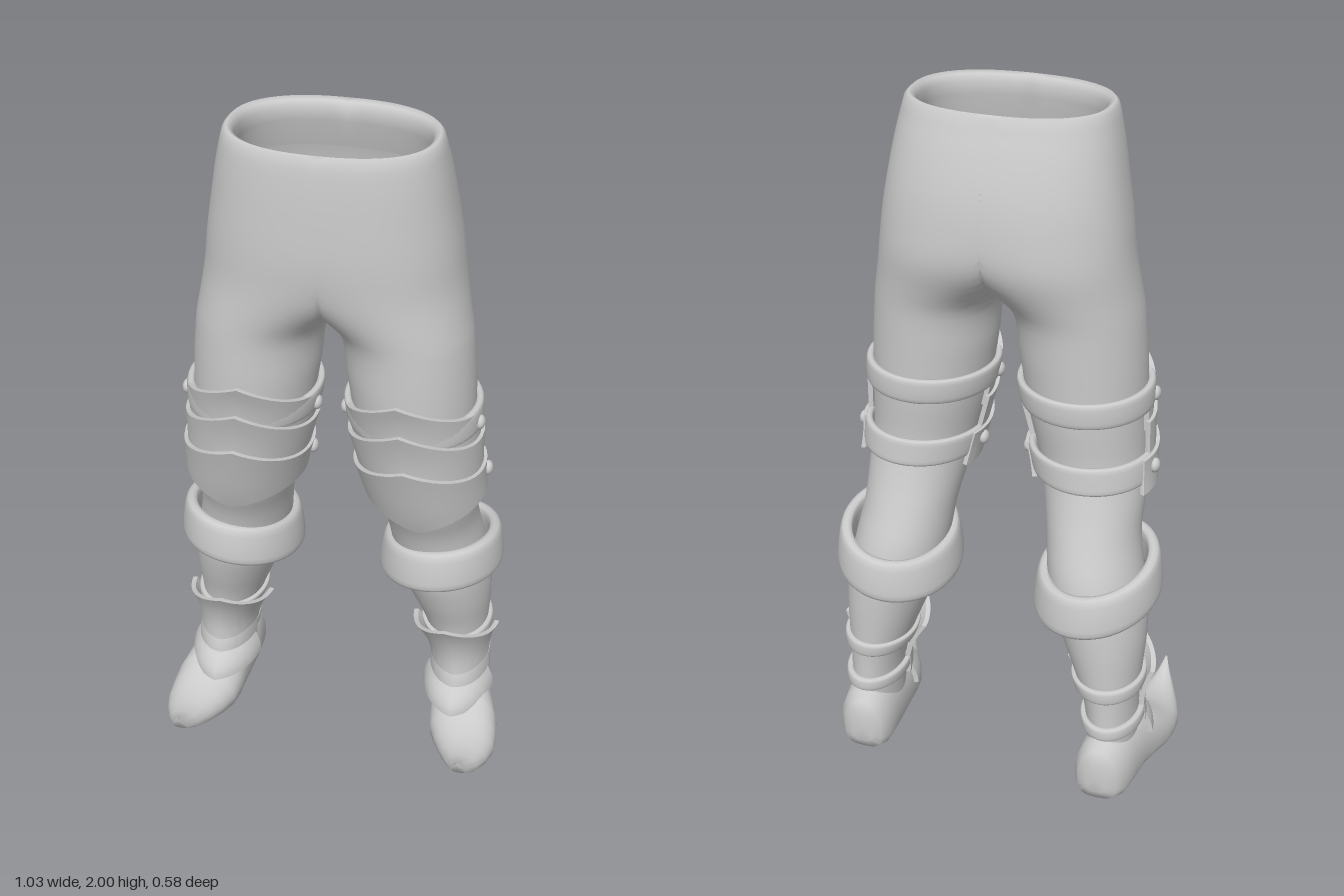
import * as THREE from 'three';
import { toCreasedNormals } from 'three/addons/utils/BufferGeometryUtils.js';

const GREY = new THREE.MeshStandardMaterial({ color: 0xcccccc, side: THREE.DoubleSide });
const { lerp, smoothstep } = THREE.MathUtils;

// Leg cross-sections: y, centre x, half width, front z, back z
const SECTIONS = [
  [0.06, 0.372, 0.07, 0.0, -0.24], [0.2, 0.37, 0.073, 0.0, -0.24], [0.3, 0.362, 0.08, -0.005, -0.24],
  [0.4, 0.348, 0.1, 0.01, -0.245], [0.5, 0.33, 0.122, 0.045, -0.25], [0.6, 0.307, 0.138, 0.075, -0.25],
  [0.7, 0.29, 0.135, 0.085, -0.235], [0.8, 0.275, 0.133, 0.11, -0.2], [0.9, 0.264, 0.143, 0.155, -0.165],
  [1.0, 0.25, 0.15, 0.18, -0.142], [1.15, 0.23, 0.165, 0.197, -0.152], [1.3, 0.215, 0.175, 0.205, -0.16],
  [1.44, 0.197, 0.181, 0.208, -0.17], [1.5, 0.16, 0.207, 0.215, -0.187], [1.6, 0.07, 0.28, 0.23, -0.222],
  [1.7, 0.015, 0.322, 0.24, -0.225], [1.8, 0, 0.32, 0.24, -0.212], [1.9, 0, 0.302, 0.236, -0.185],
  [1.97, 0, 0.286, 0.23, -0.16],
];

// Smooth interpolation of the sections at any height
function section(y) {
  const S = SECTIONS, n = S.length;
  let i = 0;
  while (i < n - 2 && y > S[i + 1][0]) i++;
  const a = S[i], b = S[i + 1], h = b[0] - a[0], t = (y - a[0]) / h;
  const slope = (j, k) => {
    const p = S[Math.max(j - 1, 0)], q = S[Math.min(j + 1, n - 1)];
    return (q[k] - p[k]) / (q[0] - p[0]);
  };
  return [1, 2, 3, 4].map((k) =>
    (2 * t ** 3 - 3 * t * t + 1) * a[k] + (t ** 3 - 2 * t * t + t) * h * slope(i, k) +
    (3 * t * t - 2 * t ** 3) * b[k] + (t ** 3 - t * t) * h * slope(i + 1, k));
}

const spow = (v, p) => Math.sign(v) * Math.abs(v) ** p;

// Point of an oval section; angle 0 is outward, PI/2 is forward
function oval([cx, rx, front, back], a, y, off = 0, p = 1) {
  return [cx + (rx + off) * spow(Math.cos(a), p), y,
    (front + back) / 2 + ((front - back) / 2 + off) * spow(Math.sin(a), p)];
}
const onLeg = (a, y, off) => oval(section(y), a, y, off);

// Skin rings of points; side mirrors the result across x
function loft(rings, side, { loop = false, cap = false, keep = () => true } = {}) {
  const n = rings[0].length, pts = rings.flat().map((p) => [p[0] * side, p[1], p[2]]), tris = [];
  const count = loop ? rings.length : rings.length - 1;
  for (let i = 0; i < count; i++) {
    for (let j = 0; j < n; j++) {
      const k = (j + 1) % n, r = ((i + 1) % rings.length) * n;
      const q = [i * n + j, i * n + k, r + k, r + j];
      if (keep(q.map((v) => pts[v]))) tris.push([q[0], q[1], q[2]], [q[0], q[2], q[3]]);
    }
  }
  if (cap) {
    for (const [base, flip] of [[0, true], [(rings.length - 1) * n, false]]) {
      const c = [0, 1, 2].map((k) => pts.slice(base, base + n).reduce((s, p) => s + p[k], 0) / n);
      const ci = pts.length;
      pts.push(c);
      for (let j = 0; j < n; j++) {
        const u = base + j, v = base + (j + 1) % n;
        tris.push(flip ? [ci, v, u] : [ci, u, v]);
      }
    }
  }
  // Turn the faces outward
  const V = pts.map((p) => new THREE.Vector3(...p));
  const volume = tris.reduce((s, [a, b, c]) => s + V[a].dot(V[b].clone().cross(V[c])), 0);
  if (volume < 0) tris.forEach((t) => t.reverse());
  const g = new THREE.BufferGeometry();
  g.setAttribute('position', new THREE.Float32BufferAttribute(pts.flat(), 3));
  g.setIndex(tris.flat());
  g.computeVertexNormals();
  return g;
}

function add(parent, name, geometry) {
  const mesh = new THREE.Mesh(geometry, GREY);
  mesh.name = name;
  parent.add(mesh);
  return mesh;
}

// Half of the trousers: rolled waist, hip and leg, open at the centre plane
function trouserHalf(side) {
  const N = 56, rings = [];
  const ring = (s, y, p) => rings.push(Array.from({ length: N }, (_, j) => {
    const q = oval(s, (j / N) * Math.PI * 2, y, 0, p);
    return [Math.max(0, q[0] < 1e-6 ? 0 : q[0]), q[1], q[2]];
  }));
  ring([0, 0.27, 0.215, -0.15], 1.86, 0.85);
  ring([0, 0.252, 0.197, -0.125], 1.94, 0.85);
  ring([0, 0.25, 0.196, -0.122], 1.975, 0.85);
  ring([0, 0.258, 0.205, -0.132], 1.994, 0.85);
  ring([0, 0.27, 0.217, -0.145], 2.0, 0.85);
  ring([0, 0.28, 0.225, -0.154], 1.99, 0.85);
  for (let y = 1.965; y > 0.07; y -= 0.025) ring(section(y), y, lerp(1, 0.85, smoothstep(y, 1.4, 1.8)));
  const g = loft(rings, side, { keep: (q) => q.some((p) => Math.abs(p[0]) > 1e-6) });
  // Blend the shading over the centre seam
  const pos = g.attributes.position, nor = g.attributes.normal, v = new THREE.Vector3();
  for (let i = 0; i < pos.count; i++) {
    if (Math.abs(pos.getX(i)) > 1e-6) continue;
    v.fromBufferAttribute(nor, i).setX(0).normalize();
    nor.setXYZ(i, v.x, v.y, v.z);
  }
  return g;
}

// Curved armour plate: top, bottom and offsets are [at the front ridge, at the sides]
function plate(side, { half, top, bottom, offTop, offBottom, thick = 0.014 }) {
  const rings = [], M = 32, R = 6;
  for (let i = 0; i <= M; i++) {
    const a = lerp(-half, half, i / M);
    const w = Math.abs(a) < Math.PI / 2 ? 1 - Math.abs(Math.sin(a)) : 0;
    const mix = ([f, s]) => lerp(s, f, w);
    const point = (v, inset) => onLeg(Math.PI / 2 + a, lerp(mix(top), mix(bottom), v),
      lerp(mix(offBottom), mix(offTop), (1 - v) ** 2) - inset);
    const outer = [], inner = [];
    for (let k = 0; k <= R; k++) {
      outer.push(point(k / R, 0));
      inner.unshift(point(k / R, thick));
    }
    rings.push([...outer, ...inner]);
  }
  return toCreasedNormals(loft(rings, side, { cap: true }), 0.7);
}

// Rounded band around the leg
function band(side, centre, radial, height) {
  const rings = [], M = 48, K = 16;
  for (let i = 0; i < M; i++) {
    const a = (i / M) * Math.PI * 2;
    rings.push(Array.from({ length: K }, (_, k) => {
      const b = (k / K) * Math.PI * 2;
      return centre(a, radial * spow(Math.cos(b), 0.6), height * spow(Math.sin(b), 0.6));
    }));
  }
  return loft(rings, side, { loop: true });
}
const strap = (side, y, h, off, tilt = 0) =>
  band(side, (a, r, v) => onLeg(a, y + v + tilt * Math.sin(a), off + r), 0.012, h / 2);

// Shoe sections: z, centre x, half width, sole y, top y
const SHOE = [
  [-0.283, 0.366, 0.03, 0.04, 0.14], [-0.272, 0.367, 0.058, 0.012, 0.178], [-0.24, 0.37, 0.078, 0.002, 0.198],
  [-0.17, 0.376, 0.085, 0, 0.2], [-0.1, 0.382, 0.088, 0, 0.2], [-0.03, 0.395, 0.097, 0, 0.185],
  [0.02, 0.405, 0.104, 0, 0.155], [0.07, 0.413, 0.102, 0, 0.122], [0.12, 0.424, 0.09, 0.006, 0.104],
  [0.17, 0.43, 0.07, 0.018, 0.097], [0.22, 0.432, 0.046, 0.04, 0.101], [0.26, 0.431, 0.024, 0.07, 0.116],
  [0.292, 0.43, 0.004, 0.13, 0.142],
];
function shoe(side) {
  const rings = SHOE.map(([z, cx, w, lo, hi]) => Array.from({ length: 32 }, (_, j) => {
    const a = (j / 32) * Math.PI * 2, s = Math.sin(a), mid = lerp(lo, hi, 0.4);
    const y = s > 0 ? mid + (hi - mid) * s : mid + (mid - lo) * spow(s, 0.55);
    return [cx + w * spow(Math.cos(a), s > 0 ? 0.9 : 0.65), y, z];
  }));
  return toCreasedNormals(loft(rings, side, { cap: true }), 1.0);
}

export function createModel() {
  const model = new THREE.Group();
  model.name = 'armouredTrousers';
  for (const [side, label] of [[1, 'left'], [-1, 'right']]) {
    const leg = new THREE.Group();
    leg.name = label + 'Leg';
    model.add(leg);
    add(leg, 'trouserHalf', trouserHalf(side));

    // Thigh and knee armour
    add(leg, 'upperThighPlate', plate(side, { half: 1.7, top: [1.325, 1.225], bottom: [1.18, 1.1],
      offTop: [0.052, 0.016], offBottom: [0.022, 0.014] }));
    add(leg, 'lowerThighPlate', plate(side, { half: 1.75, top: [1.235, 1.135], bottom: [1.08, 1.0],
      offTop: [0.054, 0.024], offBottom: [0.028, 0.022] }));
    add(leg, 'kneePlate', plate(side, { half: 1.98, top: [1.115, 1.035], bottom: [0.865, 0.935],
      offTop: [0.056, 0.032], offBottom: [0.022, 0.03] }));
    add(leg, 'thighStrap', strap(side, 1.2, 0.075, 0.009));
    add(leg, 'kneeStrap', strap(side, 1.0, 0.08, 0.015));
    for (const [y, tilt, off] of [[1.19, 0.18, 0.02], [1.0, -0.12, 0.034]]) {
      for (const a of [tilt, Math.PI - tilt]) {
        const rivet = add(leg, 'rivet', new THREE.SphereGeometry(0.021, 16, 10));
        const [x, py, z] = onLeg(a, y, off);
        rivet.position.set(x * side, py, z);
        rivet.scale.x = 0.7;
      }
    }

    // Thick tilted cuff on the calf
    add(leg, 'calfCuff', band(side, (a, r, v) => {
      const p = oval([0.302, 0.158, 0.106, -0.266], a, 0, r - 0.12 * v);
      p[1] = 0.66 + 0.03 * Math.sin(a) + 0.02 * Math.cos(a) + v;
      return p;
    }, 0.02, 0.063));

    // Shin and ankle armour
    add(leg, 'shinPlate', plate(side, { half: 1.45, top: [0.445, 0.37], bottom: [0.235, 0.25],
      offTop: [0.058, 0.038], offBottom: [0.026, 0.016] }));
    add(leg, 'anklePlate', plate(side, { half: 1.4, top: [0.265, 0.265], bottom: [0.165, 0.185],
      offTop: [0.018, 0.012], offBottom: [0.036, 0.02] }));
    add(leg, 'insteepPlate'.replace('ee', 'e'), plate(side, { half: 1.3, top: [0.2, 0.2], bottom: [0.122, 0.135],
      offTop: [0.03, 0.02], offBottom: [0.085, 0.04] }));
    add(leg, 'shinStrap', strap(side, 0.355, 0.045, 0.003));
    add(leg, 'ankleStrap', strap(side, 0.225, 0.04, 0.005));
    add(leg, 'shoe', shoe(side));
  }
  return model;
}
